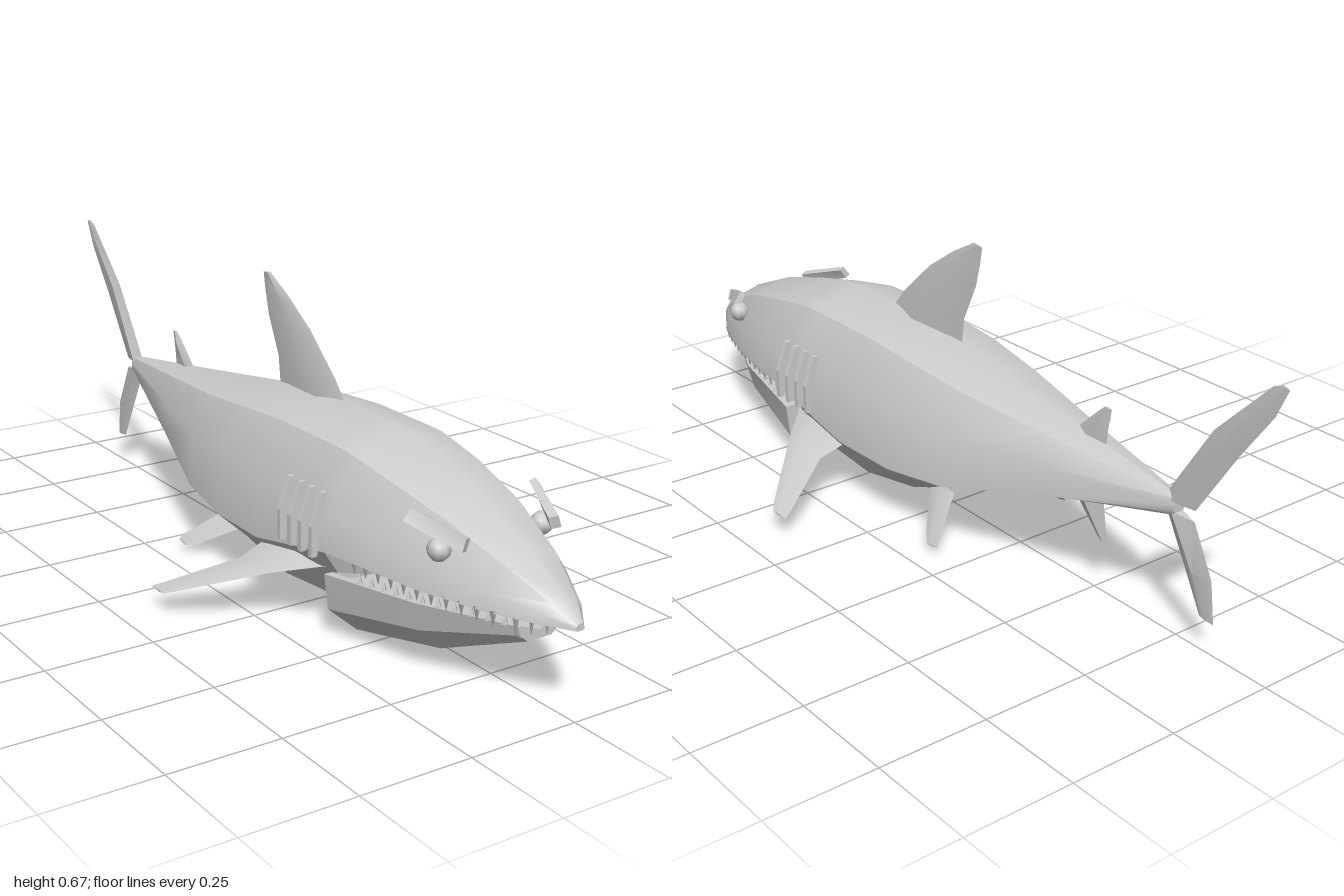
import * as THREE from 'three';
import { toCreasedNormals } from 'three/addons/utils/BufferGeometryUtils.js';

const grey = new THREE.MeshStandardMaterial({ color: 0xcccccc, side: THREE.DoubleSide });
grey.name = 'shark grey';

// Closed skin over a list of equal-length rings of [x, y, z] points.
function loft(rings, crease) {
  const n = rings[0].length;
  const pos = rings.flat(2);
  let idx = [];
  rings.slice(1).forEach((_, i) => {
    for (let j = 0; j < n; j++) {
      const a = i * n + j, b = i * n + (j + 1) % n;
      idx.push(a, b, a + n, b, b + n, a + n);
    }
  });
  // end caps fan out from the middle of the first and last rings
  [0, rings.length - 1].forEach((r) => {
    const centre = pos.length / 3;
    for (let k = 0; k < 3; k++) pos.push(rings[r].reduce((s, p) => s + p[k], 0) / n);
    for (let j = 0; j < n; j++) {
      const a = r * n + j, b = r * n + (j + 1) % n;
      if (r) idx.push(centre, a, b); else idx.push(centre, b, a);
    }
  });
  // turn the skin outward when its signed volume is negative
  const v = (i) => new THREE.Vector3().fromArray(pos, i * 3);
  let volume = 0;
  for (let i = 0; i < idx.length; i += 3) volume += v(idx[i]).dot(v(idx[i + 1]).cross(v(idx[i + 2])));
  if (volume < 0) idx = idx.reverse();
  const g = new THREE.BufferGeometry();
  g.setAttribute('position', new THREE.Float32BufferAttribute(pos, 3));
  g.setIndex(idx);
  return toCreasedNormals(g, crease);
}

// Full ring at z from the points of its +x half, top to bottom.
function mirrorRing(half, z) {
  const other = half.filter((p) => p[0] > 0).reverse().map(([x, y]) => [-x, y, z]);
  return [...half.map(([x, y]) => [x, y, z]), ...other];
}

// Fin with diamond sections: [leading point, trailing point, half thickness].
function finGeometry(sections, axis) {
  return loft(sections.map(([lead, trail, t]) => {
    const mid = lead.map((a, k) => a + (trail[k] - a) * 0.35);
    return [lead, mid.map((a, k) => a + axis[k] * t), trail, mid.map((a, k) => a - axis[k] * t)];
  }), 0.5);
}

// z, half width, top, upper ridge, lower ridge, belly side, belly
const bodyRows = [
  [1, 0.011, 0.205, 0.198, 0.192, 0.19, 0.19],
  [0.95, 0.05, 0.243, 0.215, 0.195, 0.195, 0.195],
  [0.85, 0.105, 0.305, 0.235, 0.198, 0.205, 0.21],
  [0.7, 0.155, 0.368, 0.262, 0.2, 0.215, 0.22],
  [0.55, 0.187, 0.41, 0.278, 0.205, 0.22, 0.23],
  [0.44, 0.197, 0.434, 0.285, 0.2, 0.21, 0.215],
  [0.41, 0.2, 0.439, 0.287, 0.195, 0.1, 0.07],
  [0.36, 0.2, 0.44, 0.288, 0.185, 0.06, 0.03],
  [0.18, 0.2, 0.44, 0.29, 0.148, 0.045, 0.015],
  [0, 0.193, 0.425, 0.285, 0.145, 0.075, 0.05],
  [-0.17, 0.168, 0.4, 0.28, 0.16, 0.14, 0.12],
  [-0.4, 0.105, 0.366, 0.285, 0.215, 0.2, 0.185],
  [-0.74, 0.014, 0.316, 0.3, 0.285, 0.275, 0.27],
];

// z, rim x, rim y, side x, side y, bottom x, bottom y
const jawRows = [
  [0.89, 0.055, 0.17, 0.05, 0.15, 0.03, 0.133],
  [0.68, 0.145, 0.163, 0.13, 0.1, 0.075, 0.047],
  [0.43, 0.19, 0.147, 0.18, 0.065, 0.105, 0],
];

// Value of a column at z, blended between rows.
function sample(rows, z, col) {
  const i = Math.max(1, rows.findIndex((r) => r[0] <= z));
  const a = rows[i - 1], b = rows[i];
  return THREE.MathUtils.lerp(a[col], b[col], (a[0] - z) / (a[0] - b[0]));
}

export function createModel() {
  const shark = new THREE.Group();
  shark.name = 'shark';
  const add = (name, geometry, parent = shark) => {
    const m = new THREE.Mesh(geometry, grey);
    m.name = name;
    parent.add(m);
    return m;
  };

  add('body', loft(bodyRows.map(([z, w, top, c, d, e, f]) => mirrorRing([
    [0, top], [w * 0.62, top - 0.26 * (top - c)], [w * 0.94, c], [w, d], [w * 0.6, e], [0, f],
  ], z)), 0.62));

  add('lowerJaw', loft(jawRows.map(([z, rx, ry, sx, sy, bx, by]) => mirrorRing([
    [0, ry - 0.03], [rx * 0.85, ry - 0.025], [rx * 0.9, ry], [rx, ry], [sx, sy], [bx, by],
  ], z)), 0.3));

  // fins on the centre line, outlined as [lead y, lead z, trail y, trail z, half thickness]
  const centreFins = {
    dorsalFin: [[0.41, 0.25, 0.4, -0.03, 0.02], [0.48, 0.19, 0.48, -0.04, 0.017],
      [0.57, 0.09, 0.57, -0.082, 0.011], [0.63, 0, 0.63, -0.097, 0.007], [0.67, -0.075, 0.665, -0.103, 0.003]],
    rearDorsalFin: [[0.345, -0.42, 0.335, -0.52, 0.01], [0.42, -0.5, 0.38, -0.525, 0.007],
      [0.432, -0.515, 0.43, -0.534, 0.003]],
    analFin: [[0.2, -0.43, 0.21, -0.52, 0.009], [0.125, -0.505, 0.15, -0.53, 0.006],
      [0.117, -0.515, 0.112, -0.54, 0.003]],
    upperTail: [[0.305, -0.7, 0.3, -0.785, 0.014], [0.49, -0.82, 0.46, -0.89, 0.009],
      [0.63, -0.96, 0.57, -0.97, 0.005], [0.64, -0.985, 0.635, -1, 0.002]],
    lowerTail: [[0.285, -0.7, 0.275, -0.785, 0.013], [0.165, -0.765, 0.165, -0.84, 0.008],
      [0.075, -0.812, 0.07, -0.852, 0.003]],
  };
  for (const [name, rows] of Object.entries(centreFins)) {
    add(name, finGeometry(rows.map(([ly, lz, ty, tz, t]) => [[0, ly, lz], [0, ty, tz], t]), [1, 0, 0]));
  }

  for (const [s, side] of [[1, 'left'], [-1, 'right']]) {
    // paired fins
    add(side + 'PectoralFin', finGeometry([
      [[s * 0.15, 0.155, 0.42], [s * 0.15, 0.15, 0.18], 0.02],
      [[s * 0.25, 0.125, 0.32], [s * 0.25, 0.115, 0.19], 0.012],
      [[s * 0.395, 0.06, 0.165], [s * 0.38, 0.062, 0.108], 0.005],
      [[s * 0.414, 0.05, 0.14], [s * 0.414, 0.05, 0.088], 0.002],
    ], [0, 1, 0]));
    add(side + 'PelvicFin', finGeometry([
      [[s * 0.09, 0.085, -0.03], [s * 0.09, 0.1, -0.12], 0.012],
      [[s * 0.17, 0.027, -0.12], [s * 0.18, 0.033, -0.18], 0.005],
      [[s * 0.19, 0.015, -0.15], [s * 0.19, 0.02, -0.187], 0.002],
    ], [0, 1, 0]));

    // eye and slanted brow
    add(side + 'Eye', new THREE.SphereGeometry(0.025, 8, 6)).position.set(s * 0.13, 0.293, 0.735);
    const corner = (x, y, z) => [s * x, y, z];
    add(side + 'Brow', loft([
      [corner(0.098, 0.328, 0.79), corner(0.116, 0.332, 0.8), corner(0.125, 0.306, 0.8), corner(0.107, 0.302, 0.79)],
      [corner(0.145, 0.362, 0.675), corner(0.158, 0.368, 0.68), corner(0.177, 0.343, 0.68), corner(0.162, 0.337, 0.675)],
    ], 0.3));

    // gill slits
    const slit = new THREE.Shape([[0.18, 0.325], [0.192, 0.325], [0.218, 0.255], [0.218, 0.187], [0.204, 0.187],
      [0.195, 0.25]].map(([x, y]) => new THREE.Vector2(s * x, y)));
    for (let i = 0; i < 4; i++) {
      const g = new THREE.ExtrudeGeometry(slit, { depth: 0.012, bevelEnabled: false });
      add(side + 'Gill', g).position.z = 0.412 - i * 0.04;
    }

    // side teeth on both jaws
    for (let i = 0; i < 11; i++) {
      const z = 0.86 - i * 0.034;
      const upper = add(side + 'UpperTooth', new THREE.ConeGeometry(0.01, 0.035, 4));
      upper.rotation.x = Math.PI;
      upper.position.set(s * sample(bodyRows, z, 1) * 0.93, sample(bodyRows, z, 4) - 0.012, z);
      const lower = add(side + 'LowerTooth', new THREE.ConeGeometry(0.008, 0.025, 4));
      lower.position.set(s * sample(jawRows, z, 1) * 0.94, sample(jawRows, z, 2) + 0.01, z);
    }
  }

  // long front teeth
  for (let i = -2; i <= 2; i++) {
    const tooth = add('frontTooth', new THREE.ConeGeometry(0.011, 0.05, 4));
    tooth.rotation.x = Math.PI;
    tooth.position.set(i * 0.029, 0.172, 0.91 - Math.abs(i) * 0.012);
  }
  return shark;
}
